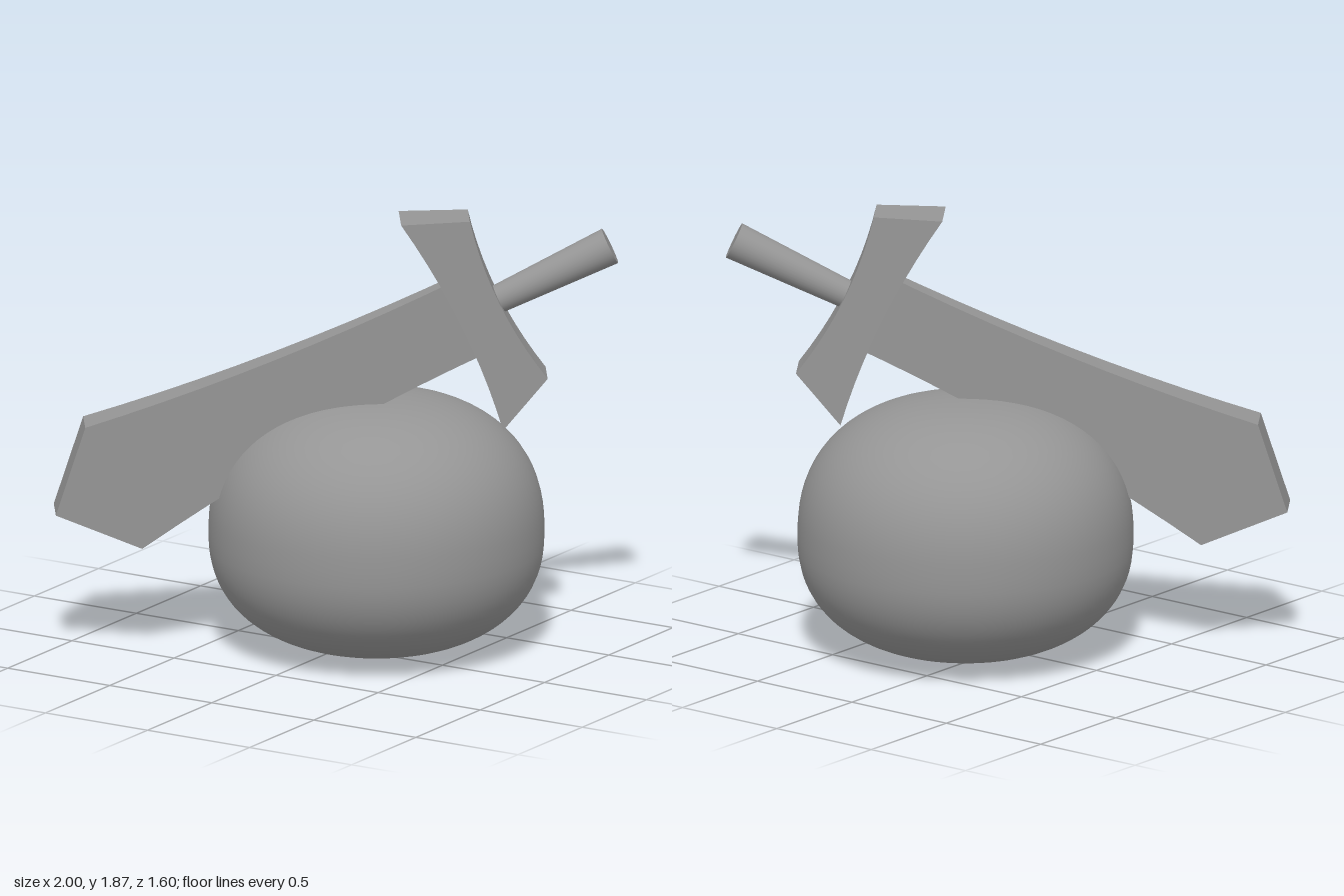
import * as THREE from 'three';
import { toCreasedNormals } from 'three/addons/utils/BufferGeometryUtils.js';

const material = new THREE.MeshStandardMaterial({ color: 0x959595 });

function addPart(parent, name, geometry) {
  const mesh = new THREE.Mesh(geometry, material);
  mesh.name = name;
  parent.add(mesh);
  return mesh;
}

// Extrudes an outline in the sword's plane; halfThickness(x, y) sets the taper.
function taperedSlab(shape, halfThickness) {
  const geometry = new THREE.ExtrudeGeometry(shape, { depth: 2, bevelEnabled: false, curveSegments: 10 });
  const p = geometry.attributes.position;
  for (let i = 0; i < p.count; i++) {
    p.setZ(i, (p.getZ(i) - 1) * halfThickness(p.getX(i), p.getY(i)));
  }
  return toCreasedNormals(geometry, 0.4);
}

// Squashed round body: a superellipse profile, widest a little below half height
function bodyGeometry() {
  const points = [];
  const steps = 40;
  const power = 2 / 2.36;
  for (let i = 0; i <= steps; i++) {
    const a = -Math.PI / 2 + (Math.PI * i) / steps;
    const s = Math.sin(a);
    const height = s < 0 ? 0.5 : 0.58;
    const r = i === 0 || i === steps ? 0 : 0.697 * Math.pow(Math.cos(a), power);
    points.push(new THREE.Vector2(r, 0.5 + height * Math.sign(s) * Math.pow(Math.abs(s), power)));
  }
  return new THREE.LatheGeometry(points, 64);
}

export function createModel() {
  const model = new THREE.Group();
  model.name = 'bodyWithSword';

  addPart(model, 'body', bodyGeometry()).position.set(0.112, 0, -0.103);

  // Sword: modelled in its own x-y plane, then turned about the vertical
  const sword = new THREE.Group();
  sword.name = 'sword';
  sword.rotation.y = 0.609;
  sword.position.z = 0.062;
  model.add(sword);

  // Blade, flaring and thickening towards its pointed end
  const blade = new THREE.Shape();
  blade.moveTo(-1.152, 0.625);
  blade.lineTo(-0.793, 0.474);
  blade.quadraticCurveTo(-0.1, 0.95, 0.66, 1.295);
  blade.lineTo(0.55, 1.62);
  blade.quadraticCurveTo(-0.24, 1.24, -1.03, 1.0);
  blade.closePath();
  addPart(sword, 'blade', taperedSlab(blade, (x) => 0.058 - 0.031 * x));

  // Guard, waisted in the middle and slightly thinner on the handle side
  const guard = new THREE.Shape();
  guard.moveTo(0.28, 1.86);
  guard.quadraticCurveTo(0.57, 1.43, 0.703, 0.972);
  guard.lineTo(0.889, 1.187);
  guard.quadraticCurveTo(0.65, 1.5, 0.566, 1.868);
  guard.closePath();
  addPart(sword, 'guard', taperedSlab(guard, (x, y) =>
    0.113 - 0.07 * ((x - 0.28) * 0.885 + (y - 1.86) * 0.423)));

  // Round handle, widening outwards
  const start = new THREE.Vector3(0.6, 1.466, 0);
  const end = new THREE.Vector3(1.152, 1.73, 0);
  const axis = end.clone().sub(start);
  const handle = addPart(sword, 'handle', new THREE.CylinderGeometry(0.079, 0.056, axis.length(), 32));
  handle.position.copy(start).add(end).multiplyScalar(0.5);
  handle.quaternion.setFromUnitVectors(new THREE.Vector3(0, 1, 0), axis.normalize());

  return model;
}
